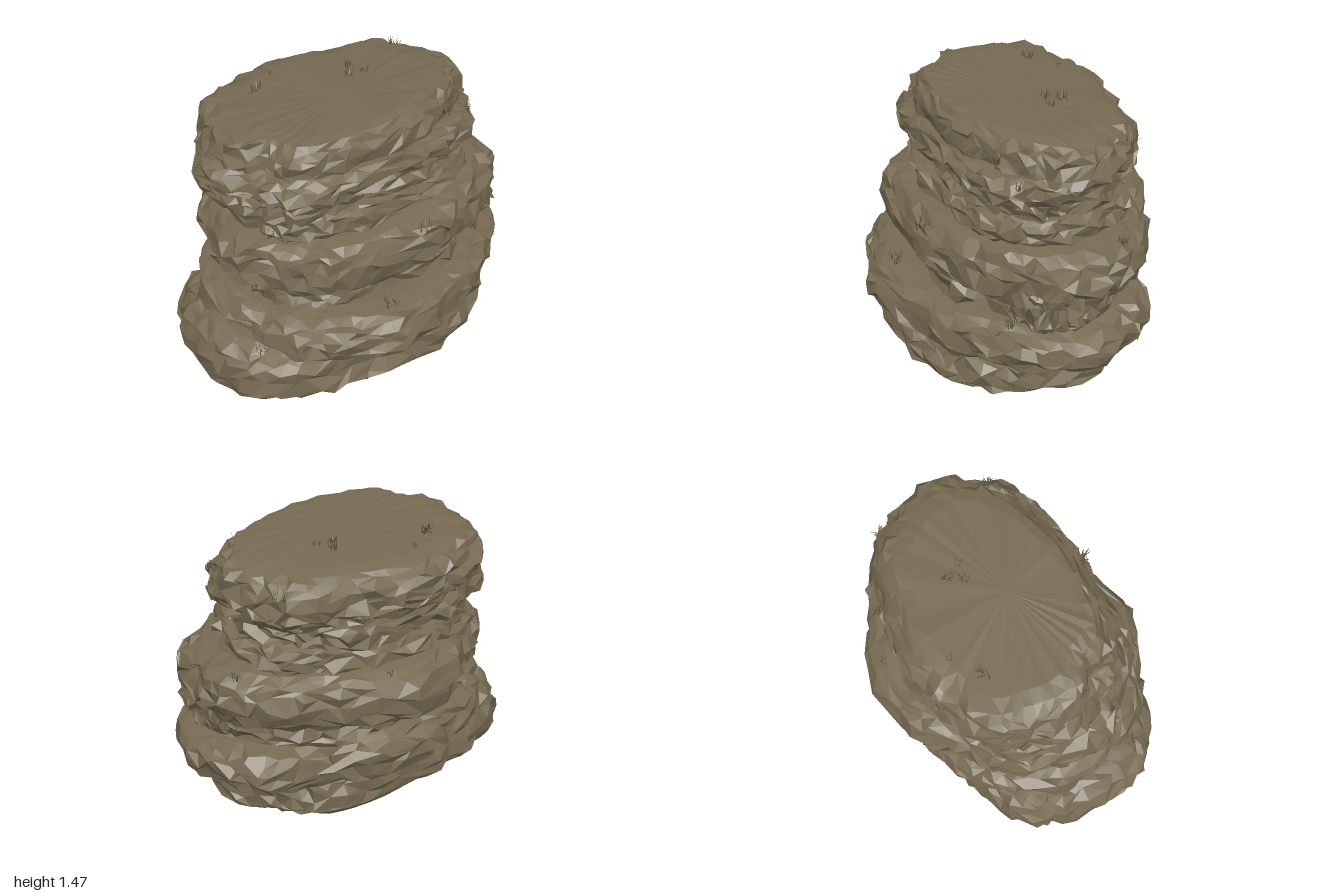
import * as THREE from 'three';

const rock = new THREE.MeshStandardMaterial({ color: 0x766a52 });
rock.name = 'weatheredRock';
rock.flatShading = true;
const grass = new THREE.MeshStandardMaterial({ color: 0x5d563a });
grass.name = 'dryGrass';
grass.side = THREE.DoubleSide;

// Seeded random numbers
let seed = 7;
const rnd = () => {
  seed = (seed * 1664525 + 1013904223) % 4294967296;
  return seed / 4294967296;
};
const power = (v, e) => Math.sign(v) * Math.abs(v) ** e;

function meshFrom(pos, material, name) {
  const geo = new THREE.BufferGeometry();
  geo.setAttribute('position', new THREE.Float32BufferAttribute(pos, 3));
  geo.computeVertexNormals();
  const mesh = new THREE.Mesh(geo, material);
  mesh.name = name;
  return mesh;
}

// Chipped stone slab: a rounded profile swept round an uneven oval.
// reach gives its extent to +x, -x, +z, -z; bumps are [degrees from +x towards +z, width, amount]
function slab(name, y0, y1, reach, { bumps = [], taper = 0, tiltX = 0, tiltZ = 0 } = {}) {
  const [right, left, front, back] = reach;
  const N = 60, ROWS = 12;
  const phase = rnd() * 6;
  const outline = (a) => {
    const x = power(Math.cos(a), 0.87), z = power(Math.sin(a), 0.87);
    const p = new THREE.Vector3(x * (x > 0 ? right : left), 0, z * (z > 0 ? front : back));
    let grow = 0.012 * (Math.sin(5 * a + phase) + Math.sin(8 * a + 2 * phase));
    for (const [deg, width, amount] of bumps) {
      const off = THREE.MathUtils.euclideanModulo(a * THREE.MathUtils.RAD2DEG - deg + 180, 360) - 180;
      grow += amount * Math.exp(-((off / width) ** 2));
    }
    return p.setLength(p.length() + grow);
  };

  const rings = [];
  for (let i = 0; i <= ROWS; i++) {
    const t = (i / ROWS) * Math.PI;
    const scale = i === ROWS ? 0 : Math.sin(t) ** 0.22;
    const f = 0.5 - 0.5 * power(Math.cos(t), 0.75);
    const rough = scale ** 4 * (i > ROWS - 3 ? 0.5 : 1);
    const ring = [];
    for (let j = 0; j < N; j++) {
      const p = outline(((j + (rnd() - 0.5) * 0.9 * rough) / N) * Math.PI * 2);
      const chip = (rnd() * 0.06 - 0.044) * rough;
      const lift = (rnd() - 0.5) * 0.05 * rough + f * (tiltX * p.x + tiltZ * p.z) * scale;
      p.multiplyScalar(scale * (1 - taper * f) * (1 + chip / p.length()));
      p.y = Math.max(0, y0 + f * (y1 - y0) + lift);
      ring.push(p);
    }
    rings.push(ring);
  }

  const pos = [];
  const tri = (...v) => v.forEach((p) => pos.push(p.x, p.y, p.z));
  for (let i = 0; i < ROWS; i++) {
    for (let j = 0; j < N; j++) {
      const k = (j + 1) % N;
      const a = rings[i][j], b = rings[i][k], c = rings[i + 1][j], d = rings[i + 1][k];
      if (rnd() < 0.5) { tri(a, c, b); tri(b, c, d); } else { tri(a, c, d); tri(a, d, b); }
    }
  }
  return meshFrom(pos, rock, name);
}

// Spiky clump of narrow leaning blades
function tuft(size) {
  const pos = [];
  for (let i = 0; i < 24; i++) {
    const a = rnd() * Math.PI * 2, r = rnd() * size * 0.6, w = size * 0.07;
    const cos = Math.cos(a), sin = Math.sin(a);
    const lean = size * (0.3 + rnd() * 0.6), h = size * (0.35 + rnd() * 0.6);
    pos.push(cos * r - sin * w, -0.01, sin * r + cos * w);
    pos.push(cos * r + sin * w, -0.01, sin * r - cos * w);
    pos.push(cos * lean, h, sin * lean);
  }
  return meshFrom(pos, grass, 'grassTuft');
}

export function createModel() {
  seed = 7;
  const model = new THREE.Group();
  model.name = 'layeredRock';

  // Stone layers from the ground up
  const base = slab('baseLayer', -0.03, 0.3, [0.85, 1.02, 0.72, 0.6],
    { bumps: [[145, 18, 0.04]], taper: 0.05, tiltX: -0.06 });
  const lowerLedge = slab('lowerLedge', 0.19, 0.48, [1.01, 0.83, 0.73, 0.66],
    { bumps: [[95, 14, 0.07], [42, 18, -0.09]], tiltX: -0.02 });
  const lowerNeck = slab('lowerNeck', 0.38, 0.66, [0.84, 0.67, 0.55, 0.59], { bumps: [[40, 20, -0.06]] });
  const sideLobe = slab('sideLobe', 0.45, 0.78, [0.27, 0.25, 0.27, 0.3]);
  sideLobe.position.set(0.67, 0, 0.07);
  const middleLedge = slab('middleLedge', 0.56, 0.9, [0.98, 0.79, 0.61, 0.65],
    { bumps: [[273, 18, 0.15], [40, 18, -0.06]] });
  const upperNeck = slab('upperNeck', 0.84, 1.04, [0.77, 0.66, 0.47, 0.62]);
  const upperLedge = slab('upperLedge', 0.97, 1.17, [0.72, 0.79, 0.43, 0.61], { bumps: [[155, 22, -0.06]] });
  const crownLedge = slab('crownLedge', 1.11, 1.28, [0.8, 0.8, 0.49, 0.61], { bumps: [[158, 22, -0.06]] });
  const crown = slab('crown', 1.13, 1.43, [0.82, 0.76, 0.43, 0.64],
    { bumps: [[40, 20, -0.08], [160, 22, -0.08], [225, 18, 0.07]], taper: 0.06, tiltZ: 0.05 });
  const layers = [base, lowerLedge, lowerNeck, sideLobe, middleLedge, upperNeck, upperLedge, crownLedge, crown];
  model.add(...layers);
  model.updateMatrixWorld(true);

  // Grass dropped onto the ledges: x, z, size and, under overhangs, the height to drop from
  const ray = new THREE.Raycaster();
  const plant = (x, z, size, top = 2) => {
    ray.set(new THREE.Vector3(x, top, z), new THREE.Vector3(0, -1, 0));
    const [hit] = ray.intersectObjects(layers);
    if (!hit) return;
    const clump = tuft(size);
    clump.position.copy(hit.point);
    model.add(clump);
  };
  plant(0.22, -0.22, 0.055);
  plant(0.17, -0.15, 0.05);
  plant(0.26, -0.14, 0.04);
  plant(-0.32, -0.31, 0.06);
  plant(-0.16, -0.42, 0.03);
  plant(0.17, -0.67, 0.035);
  plant(0.48, 0.3, 0.06);
  plant(0.65, -0.39, 0.06);
  plant(0.83, -0.24, 0.05);
  plant(0.66, 0.26, 0.05);
  plant(-0.58, 0.22, 0.05, 0.97);
  plant(0.7, 0.33, 0.06, 0.55);
  plant(-0.76, 0.39, 0.06);
  plant(-0.1, 0.63, 0.065);
  plant(0.17, 0.58, 0.07);
  plant(-0.45, -0.45, 0.06, 0.55);
  return model;
}
